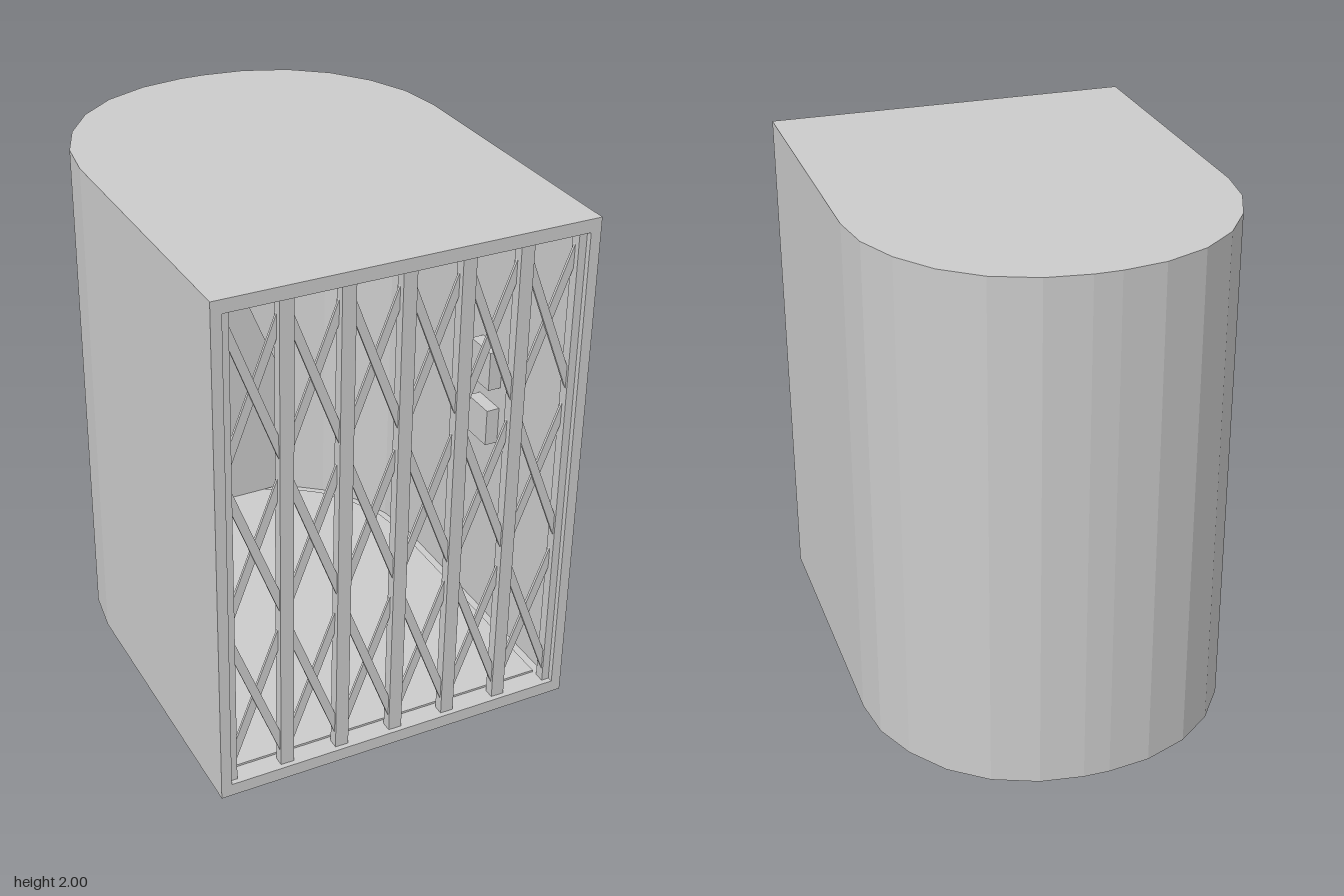
import * as THREE from 'three';

const material = new THREE.MeshStandardMaterial({ color: 0xcccccc, flatShading: true });

// Right half of the plan's faceted rear curve, as [x, distance behind the centre]
const ARC = [[0.715, 0.235], [0.69, 0.41], [0.622, 0.57], [0.517, 0.713], [0.38, 0.82], [0.213, 0.887], [0.05, 0.91]];
const FRONT = -0.91;

function mesh(parent, name, geometry, x = 0, y = 0, z = 0) {
  const m = new THREE.Mesh(geometry, material);
  m.name = name;
  m.position.set(x, y, z);
  parent.add(m);
  return m;
}

// Plan outline from front right, round the back, to front left, inset by t
function outline(t, front) {
  const sx = (0.715 - t) / 0.715;
  const sz = (0.675 - t) / 0.675;
  const right = ARC.map(([x, d]) => [x * sx, 0.235 + (d - 0.235) * sz]);
  const left = right.map(([x, d]) => [-x, d]).reverse();
  return [[0.715 - t, front], ...right, ...left, [t - 0.715, front]];
}

const toShape = (points) => new THREE.Shape(points.map(([x, y]) => new THREE.Vector2(x, y)));

// Extrudes a plan shape straight up
function extrudeUp(points, height) {
  const g = new THREE.ExtrudeGeometry(toShape(points), { depth: height, bevelEnabled: false });
  return g.rotateX(-Math.PI / 2);
}

function createGate() {
  const gate = new THREE.Group();
  gate.name = 'foldingGate';
  const pitch = 0.222;
  const height = 1.9;

  // Vertical bars, narrower at both ends
  for (let i = -3; i <= 3; i++) {
    const end = Math.abs(i) === 3;
    const x = end ? Math.sign(i) * 0.659 : i * pitch;
    mesh(gate, 'gateBar', new THREE.BoxGeometry(end ? 0.03 : 0.052, height, 0.04), x, 1, 0.87);
  }

  // Crossed lattice strips in three rows
  const rise = 0.58;
  const length = Math.hypot(pitch, rise);
  const angle = Math.atan2(pitch, rise);
  for (let bay = -2.5; bay <= 2.5; bay++) {
    for (const y of [0.38, 1.0, 1.62]) {
      for (const side of [-1, 1]) {
        const strip = mesh(gate, 'latticeStrip', new THREE.BoxGeometry(0.032, length, 0.01),
          bay * pitch, y, 0.87 + side * 0.006);
        strip.rotation.z = side * angle;
      }
    }
  }
  return gate;
}

export function createModel() {
  const model = new THREE.Group();
  model.name = 'liftCar';

  // Floor and ceiling slabs
  const slab = extrudeUp(outline(0, FRONT), 0.05);
  mesh(model, 'floor', slab);
  mesh(model, 'ceiling', slab, 0, 1.95, 0);

  // Open-fronted wall following the plan
  const wall = [...outline(0, FRONT), ...outline(0.04, FRONT).reverse()];
  mesh(model, 'wall', extrudeUp(wall, 1.9), 0, 0.05, 0);

  // Slim floor covering set in from the walls
  mesh(model, 'floorCovering', extrudeUp(outline(0.075, -0.83), 0.008), 0, 0.05, 0);

  // Tapered flat panel against the back wall
  const half = [[0.33, 0.06], [0.33, 0.66], [0.26, 0.81], [0.19, 0.98], [0.17, 1.02], [0.1, 1.475], [0.03, 1.53]];
  const panel = [...half, ...half.map(([x, y]) => [-x, y]).reverse()];
  mesh(model, 'backPanel', new THREE.ExtrudeGeometry(toShape(panel), { depth: 0.05, bevelEnabled: false }), 0, 0, -0.84);

  // Controls on the side wall
  const controls = new THREE.Group();
  controls.name = 'controls';
  mesh(controls, 'controlBox', new THREE.BoxGeometry(0.055, 0.16, 0.14), 0.65, 1.18, 0.35);
  mesh(controls, 'lowerControlBox', new THREE.BoxGeometry(0.055, 0.15, 0.14), 0.65, 0.935, 0.35);
  model.add(controls);

  model.add(createGate());
  return model;
}
